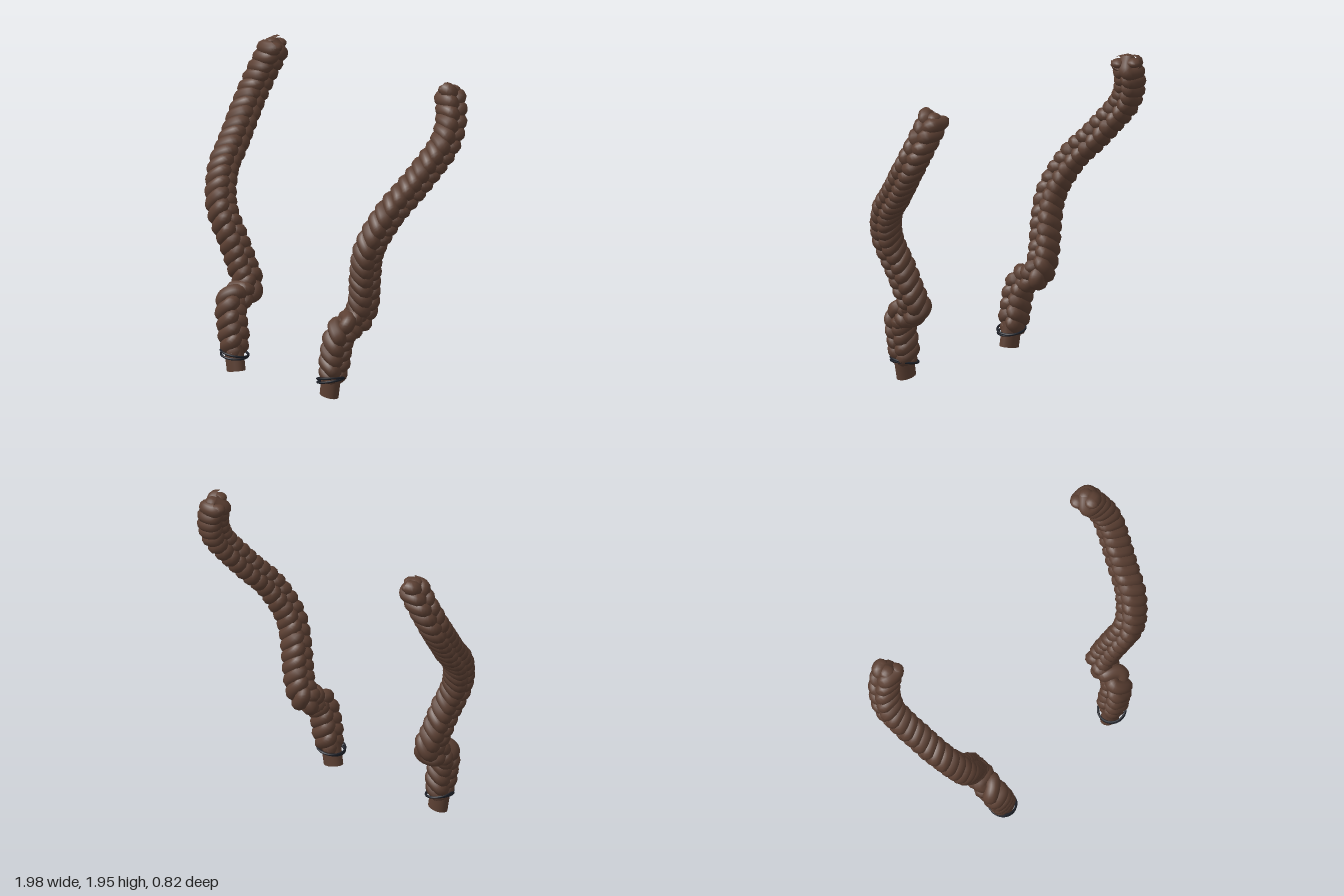
import * as THREE from 'three';

const brown = new THREE.MeshStandardMaterial({ color: 0x5c4033 });
brown.name = 'brown hair';
const dark = new THREE.MeshStandardMaterial({ color: 0x1c1f27 });
dark.name = 'dark band';

// centre line of the braid on the +x side
const PATH = [
  [0.458, 0.125, 0.315], [0.476, 0.25, 0.31], [0.505, 0.38, 0.305], [0.522, 0.445, 0.272],
  [0.518, 0.463, 0.2], [0.52, 0.505, 0.15], [0.562, 0.6, 0.154], [0.624, 0.8, 0.193],
  [0.672, 0.92, 0.216], [0.715, 1.02, 0.206], [0.788, 1.2, 0.12], [0.829, 1.32, 0.01],
  [0.867, 1.44, -0.09], [0.902, 1.59, -0.207], [0.883, 1.72, -0.272], [0.85, 1.81, -0.3],
  [0.814, 1.89, -0.315],
];
const PERIOD = 0.21, WIDE = 0.046, DEEP = 0.04, RADIUS = 0.047;

// one of three strands weaving in a figure eight around the centre line
class StrandCurve extends THREE.Curve {
  constructor(path, side, phase) {
    super();
    this.path = path;
    this.side = side;
    this.phase = phase;
    this.length = path.getLength();
    this.arcLengthDivisions = 1500;
  }
  getPoint(t, target = new THREE.Vector3()) {
    const u = THREE.MathUtils.clamp(t, 0, 1);
    const s = u * this.length;
    const tangent = this.path.getTangentAt(u);
    const out = new THREE.Vector3(this.side, 0, 0);
    out.addScaledVector(tangent, -out.dot(tangent)).normalize();
    const across = new THREE.Vector3().crossVectors(tangent, out);
    const angle = (s / PERIOD) * Math.PI * 2 + this.phase;
    const grow = Math.min(1, 0.6 + 6 * s);
    return target.copy(this.path.getPointAt(u))
      .addScaledVector(across, WIDE * grow * Math.sin(angle))
      .addScaledVector(out, DEEP * grow * Math.sin(2 * angle));
  }
}

function add(group, name, geometry, material) {
  const mesh = new THREE.Mesh(geometry, material);
  mesh.name = name;
  group.add(mesh);
  return mesh;
}

function createBraid(side) {
  const braid = new THREE.Group();
  braid.name = side > 0 ? 'leftBraid' : 'rightBraid';
  const path = new THREE.CatmullRomCurve3(
    PATH.map(([x, y, z]) => new THREE.Vector3(side * x, y, z)), false, 'centripetal');
  path.arcLengthDivisions = 600;

  // three woven strands with blunt ends
  for (let i = 0; i < 3; i++) {
    const curve = new StrandCurve(path, side, (i * Math.PI * 2) / 3);
    add(braid, 'strand', new THREE.TubeGeometry(curve, 680, RADIUS, 10), brown);
    for (const end of [0, 1]) {
      const cap = add(braid, 'strandEnd', new THREE.SphereGeometry(RADIUS, 12, 8), brown);
      cap.position.copy(curve.getPoint(end));
      cap.scale.y = 0.65;
    }
  }

  // plain root below the band
  const root = add(braid, 'root', new THREE.CylinderGeometry(0.07, 0.068, 0.16, 20), brown);
  root.scale.z = 0.72;
  root.position.set(side * 0.448, 0.092, 0.322);
  root.rotation.z = -side * 0.17;

  // wound elastic band, its turns slightly askew
  const turns = [[0.113, 0.07, 0.084], [0.125, -0.08, 0.086]];
  for (const [y, tilt, radius] of turns) {
    const band = add(braid, 'elasticBand', new THREE.TorusGeometry(radius, 0.007, 8, 32), dark);
    band.position.set(side * 0.452, y, 0.32);
    band.rotation.set(Math.PI / 2 + tilt, side * 0.17, 0);
  }
  return braid;
}

export function createModel() {
  const model = new THREE.Group();
  model.name = 'braidPair';
  for (const side of [1, -1]) model.add(createBraid(side));
  return model;
}
